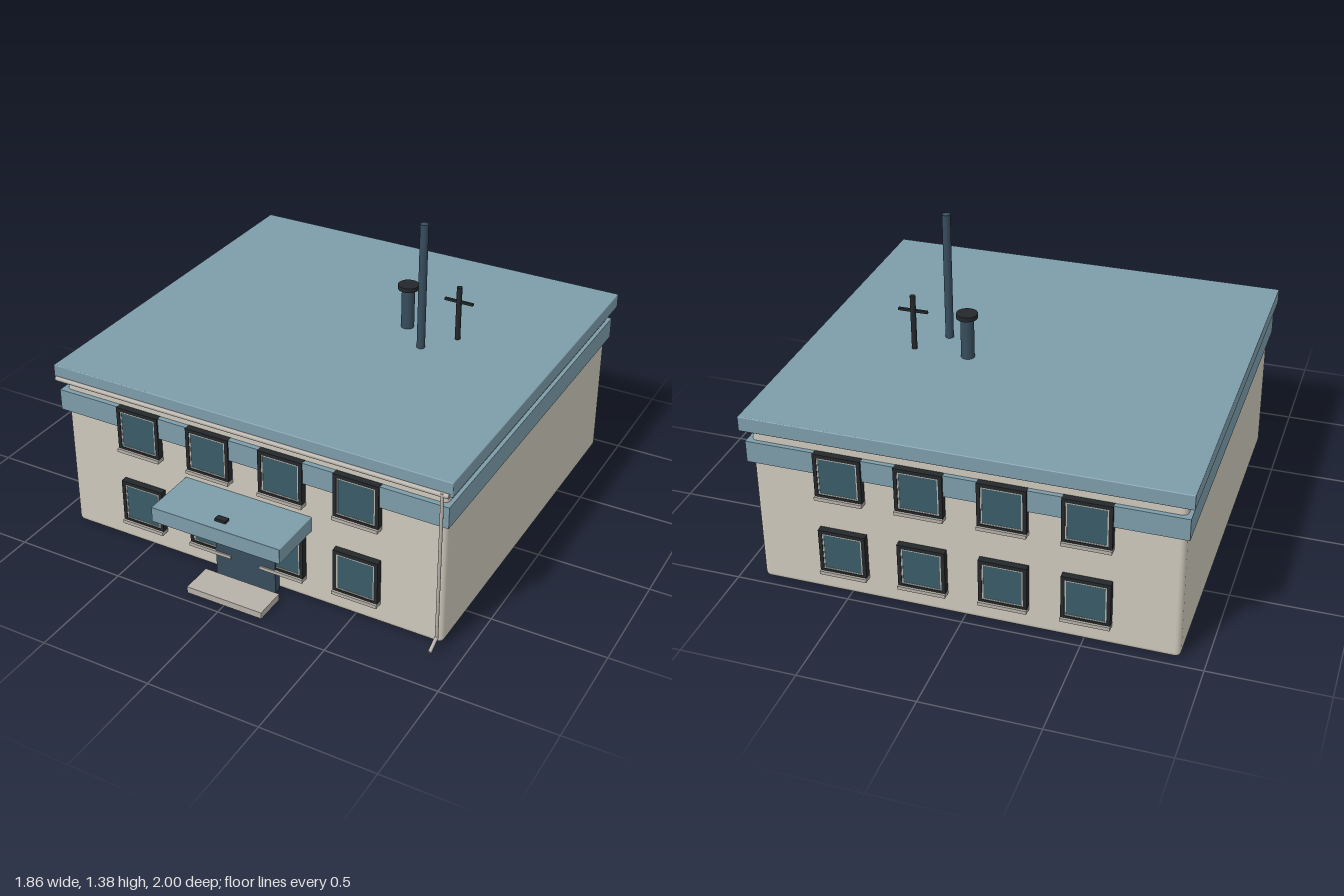
import * as THREE from 'three';
import { RoundedBoxGeometry } from 'three/addons/geometries/RoundedBoxGeometry.js';

const mat = (color) => new THREE.MeshStandardMaterial({ color });
const wall = mat(0xcdc8bb), blue = mat(0x7d9caa), navy = mat(0x374c5d);
const black = mat(0x24282b), glassMat = mat(0x3a5c68), stone = mat(0xb5b0a8);

function add(parent, name, geometry, material, x = 0, y = 0, z = 0) {
  const mesh = new THREE.Mesh(geometry, material);
  mesh.name = name;
  mesh.position.set(x, y, z);
  parent.add(mesh);
  return mesh;
}

// Box given by its minimum and maximum on each axis, optionally rounded
function box(parent, name, material, [x0, x1], [y0, y1], [z0, z1], r = 0) {
  const size = [x1 - x0, y1 - y0, z1 - z0];
  const geo = r ? new RoundedBoxGeometry(...size, 3, r) : new THREE.BoxGeometry(...size);
  return add(parent, name, geo, material, (x0 + x1) / 2, (y0 + y1) / 2, (z0 + z1) / 2);
}

// Upright cylinder from y0 to y1
function post(parent, name, material, r, x, z, y0, y1) {
  return add(parent, name, new THREE.CylinderGeometry(r, r, y1 - y0, 24), material, x, (y0 + y1) / 2, z);
}

// Flat square ring lying in the xy plane, extruded towards +z
function squareRing(outer, inner, depth) {
  const square = (path, h) => path.moveTo(-h, -h).lineTo(h, -h).lineTo(h, h).lineTo(-h, h).closePath();
  const shape = square(new THREE.Shape(), outer);
  shape.holes.push(square(new THREE.Path(), inner));
  return new THREE.ExtrudeGeometry(shape, { depth, bevelEnabled: false });
}

// Window with dark surround, pale inner frame, glass and sill; z = 0 is the wall
const surroundGeo = squareRing(0.102, 0.086, 0.03);
const innerGeo = squareRing(0.087, 0.08, 0.027);
function makeWindow() {
  const g = new THREE.Group();
  g.name = 'window';
  add(g, 'windowSurround', surroundGeo, black);
  add(g, 'windowInnerFrame', innerGeo, stone);
  box(g, 'windowGlass', glassMat, [-0.081, 0.081], [-0.081, 0.081], [0, 0.0255]);
  box(g, 'windowSill', stone, [-0.103, 0.103], [-0.112, -0.096], [0, 0.04]);
  return g;
}

export function createModel() {
  const model = new THREE.Group();
  model.name = 'building';

  // Walls, band and roof slab
  box(model, 'walls', wall, [-0.895, 0.895], [0, 0.735], [-0.96, 0.745], 0.024);
  box(model, 'wallBand', blue, [-0.912, 0.912], [0.583, 0.679], [-0.98, 0.768]);
  box(model, 'roof', blue, [-0.928, 0.928], [0.734, 0.8], [-0.998, 0.777], 0.004);

  // Two rows of four windows, front and back
  for (const side of [1, -1]) {
    for (const y of [0.213, 0.578]) {
      for (const x of [-0.515, -0.172, 0.172, 0.515]) {
        const w = makeWindow();
        w.position.set(x, y, side > 0 ? 0.745 : -0.96);
        w.rotation.y = side > 0 ? 0 : Math.PI;
        model.add(w);
      }
    }
  }

  // Entrance
  box(model, 'door', navy, [-0.144, 0.144], [0, 0.355], [0.745, 0.779]);
  box(model, 'doorstep', stone, [-0.18, 0.18], [0, 0.03], [0.81, 0.953]);
  box(model, 'canopy', blue, [-0.302, 0.302], [0.348, 0.418], [0.745, 1], 0.003);
  box(model, 'canopyLamp', black, [-0.025, 0.025], [0.34, 0.43], [0.927, 0.955]);

  // Gutter along the front eave
  const gutter = add(model, 'gutter', new THREE.CylinderGeometry(0.01, 0.01, 1.83, 16), stone, 0, 0.74, 0.782);
  gutter.rotation.z = Math.PI / 2;

  // Downpipe with an angled outlet
  post(model, 'downpipe', stone, 0.007, 0.888, 0.785, 0.06, 0.75);
  const outlet = add(model, 'downpipeOutlet', new THREE.CylinderGeometry(0.008, 0.008, 0.07, 16), stone, 0.888, 0.05, 0.815);
  outlet.rotation.x = THREE.MathUtils.degToRad(118);

  // Roof fittings: vent with cap, tall pole and aerial
  post(model, 'vent', navy, 0.029, 0.222, -0.253, 0.79, 0.99);
  post(model, 'ventCap', black, 0.046, 0.222, -0.253, 0.985, 1.005);
  post(model, 'tallPole', navy, 0.018, 0.357, -0.11, 0.79, 1.377);
  post(model, 'aerialMast', black, 0.012, 0.464, -0.253, 0.79, 1.05);
  box(model, 'aerialBar', black, [0.398, 0.53], [0.975, 0.986], [-0.259, -0.247]);

  return model;
}
